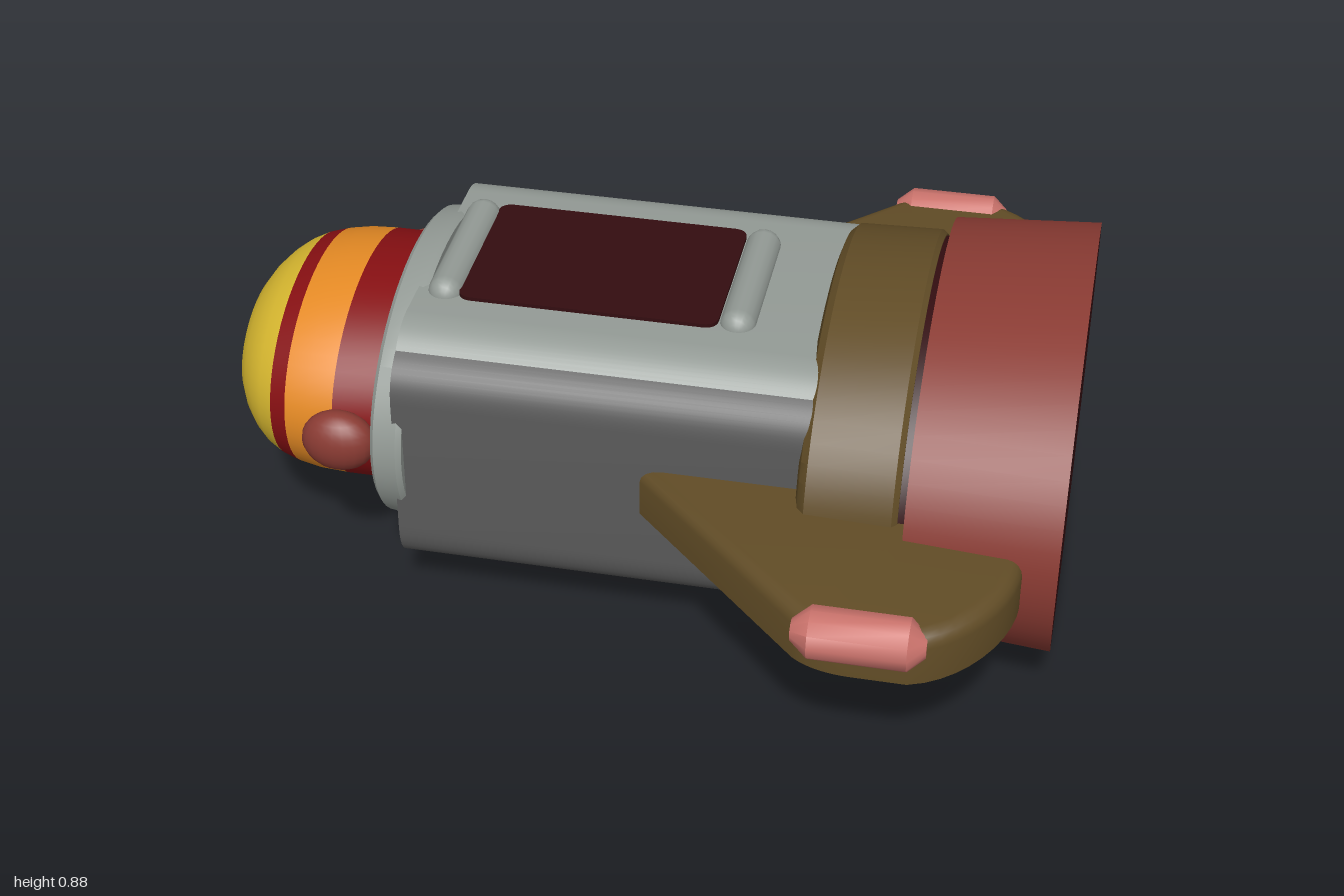
import * as THREE from 'three';
import { toCreasedNormals } from 'three/addons/utils/BufferGeometryUtils.js';

const CENTER_Y = 0.44; // height of the long axis
const SQUASH = 0.725;  // elliptical cross-section, height / width

const mat = (name, color) => {
  const m = new THREE.MeshStandardMaterial({ color });
  m.name = name;
  return m;
};

export function createModel() {
  const model = new THREE.Group();
  model.name = 'rocketShip';
  const M = {
    yellow: mat('yellow', 0xd9b930),
    orange: mat('orange', 0xe58a24),
    red: mat('deepRed', 0x860f12),
    brick: mat('brick', 0x8a3b33),
    maroon: mat('darkMaroon', 0x330d10),
    grey: mat('darkGrey', 0x5a5a5a),
    light: mat('lightGrey', 0x939a95),
    brown: mat('brown', 0x614c26),
    pink: mat('pink', 0xcb736c),
  };

  const add = (name, geometry, material) => {
    const mesh = new THREE.Mesh(geometry, material);
    mesh.name = name;
    model.add(mesh);
    return mesh;
  };

  // Turned part along x; profile is [x, radius] from nose to tail
  const turned = (profile, segments = 56, squash = SQUASH, crease = 0.5) => {
    const g = new THREE.LatheGeometry(profile.map(([x, r]) => new THREE.Vector2(r, x)), segments);
    g.rotateZ(-Math.PI / 2).scale(1, squash, 1);
    return toCreasedNormals(g, crease);
  };
  const ring = (name, profile, material) => {
    add(name, turned(profile), material).position.y = CENTER_Y;
  };

  // Domed nose in coloured bands
  ring('noseTip', [[-1, 0], [-0.998, 0.07], [-0.99, 0.135], [-0.975, 0.19], [-0.95, 0.24],
    [-0.92, 0.282], [-0.89, 0.312], [-0.855, 0.335]], M.yellow);
  ring('noseStripe', [[-0.855, 0.335], [-0.815, 0.35]], M.red);
  ring('noseBand', [[-0.815, 0.35], [-0.76, 0.362], [-0.695, 0.366]], M.orange);
  ring('noseBase', [[-0.695, 0.366], [-0.56, 0.366]], M.red);

  // Ring where the nose meets the hull
  ring('frontRing', [[-0.58, 0.34], [-0.58, 0.44], [-0.57, 0.453], [-0.515, 0.461],
    [-0.502, 0.455], [-0.502, 0.3]], M.light);

  // Tail collar and engine
  ring('tailCollar', [[0.41, 0.3], [0.41, 0.475], [0.418, 0.51], [0.435, 0.53], [0.63, 0.537],
    [0.642, 0.525], [0.642, 0.4]], M.brown);
  ring('engineGap', [[0.63, 0.52], [0.67, 0.52]], M.maroon);
  ring('engine', [[0.66, 0.4], [0.66, 0.577], [1, 0.605]], M.brick);
  ring('engineOutlet', [[0.999, 0.605], [0.9995, 0]], M.maroon);

  // Hull and its roof, extruded along x
  const alongX = (shape, x0, x1) => {
    const g = new THREE.ExtrudeGeometry(shape, { depth: x1 - x0, bevelEnabled: false, curveSegments: 10 });
    g.rotateY(Math.PI / 2).translate(x0, 0, 0);
    return toCreasedNormals(g, 0.5);
  };
  const hull = new THREE.Shape();
  hull.moveTo(-0.37, 0.705);
  hull.quadraticCurveTo(-0.435, 0.67, -0.435, 0.6);
  hull.lineTo(-0.435, 0.25);
  hull.quadraticCurveTo(-0.435, 0.13, -0.3, 0.13);
  hull.lineTo(0.3, 0.13);
  hull.quadraticCurveTo(0.435, 0.13, 0.435, 0.25);
  hull.lineTo(0.435, 0.6);
  hull.quadraticCurveTo(0.435, 0.67, 0.37, 0.705);
  add('hull', alongX(hull, -0.525, 0.45), M.grey);

  const roof = new THREE.Shape();
  roof.moveTo(-0.37, 0.705);
  roof.lineTo(0.37, 0.705);
  roof.quadraticCurveTo(0.33, 0.748, 0.27, 0.75);
  roof.lineTo(-0.27, 0.75);
  roof.quadraticCurveTo(-0.33, 0.748, -0.37, 0.705);
  add('roof', alongX(roof, -0.525, 0.45), M.light);

  // Roof window with rounded corners
  const [x0, x1, w, r] = [-0.425, 0.18, 0.208, 0.035];
  const pane = new THREE.Shape();
  pane.moveTo(x0 + r, -w);
  pane.lineTo(x1 - r, -w);
  pane.quadraticCurveTo(x1, -w, x1, -w + r);
  pane.lineTo(x1, w - r);
  pane.quadraticCurveTo(x1, w, x1 - r, w);
  pane.lineTo(x0 + r, w);
  pane.quadraticCurveTo(x0, w, x0, w - r);
  pane.lineTo(x0, -w + r);
  pane.quadraticCurveTo(x0, -w, x0 + r, -w);
  const paneGeo = new THREE.ExtrudeGeometry(pane, { depth: 0.009, bevelEnabled: false });
  paneGeo.rotateX(-Math.PI / 2).translate(0, 0.753, 0);
  add('roofWindow', paneGeo, M.maroon);

  // Rounded bars before and behind the window
  for (const x of [-0.46, 0.223]) {
    const bar = new THREE.CapsuleGeometry(0.042, 0.336, 6, 16);
    bar.rotateX(Math.PI / 2);
    const mesh = add('windowBar', bar, M.light);
    mesh.position.set(x, 0.745, 0);
  }

  // Wing plate: flat below, rounded top edge
  const bevel = 0.035;
  const outline = new THREE.Shape();
  outline.moveTo(0.09, 0.2);
  outline.lineTo(0.085, 0.42);
  outline.lineTo(0.49, 0.825);
  outline.quadraticCurveTo(0.53, 0.855, 0.6, 0.855);
  outline.lineTo(0.71, 0.855);
  outline.bezierCurveTo(0.8, 0.83, 0.89, 0.7, 0.89, 0.58);
  outline.lineTo(0.89, 0.2);
  const wingGeo = () => {
    const g = new THREE.ExtrudeGeometry(outline, {
      depth: 0.09, bevelThickness: bevel, bevelSize: bevel, bevelSegments: 4, curveSegments: 10,
    });
    g.rotateX(-Math.PI / 2).translate(0, 0.38, 0); // extends towards -z
    const p = g.attributes.position;
    for (let i = 0; i < p.count; i++) p.setY(i, Math.max(p.getY(i), 0.38));
    return toCreasedNormals(g, 0.6);
  };

  // Paired parts on both sides
  for (const side of [-1, 1]) {
    const wing = wingGeo();
    if (side > 0) {
      // mirror across the long axis and restore the corner order
      wing.scale(1, 1, -1);
      for (const key of ['position', 'normal']) {
        const a = wing.attributes[key];
        const v = new THREE.Vector3(), u = new THREE.Vector3();
        for (let i = 0; i < a.count; i += 3) {
          v.fromBufferAttribute(a, i + 1);
          u.fromBufferAttribute(a, i + 2);
          a.setXYZ(i + 1, u.x, u.y, u.z);
          a.setXYZ(i + 2, v.x, v.y, v.z);
        }
      }
    }
    add('wing', wing, M.brown);

    const pod = turned([[0.465, 0], [0.465, 0.025], [0.505, 0.06], [0.715, 0.06],
      [0.752, 0.025], [0.752, 0]], 12, 0.96, 0.7);
    add('wingTipPod', pod, M.pink).position.set(0, 0.467, side * 0.863);

    const ball = add('noseBall', new THREE.SphereGeometry(1, 20, 14), M.brick);
    ball.scale.set(0.088, 0.076, 0.056);
    ball.position.set(-0.665, 0.46, side * 0.405);
  }

  return model;
}
